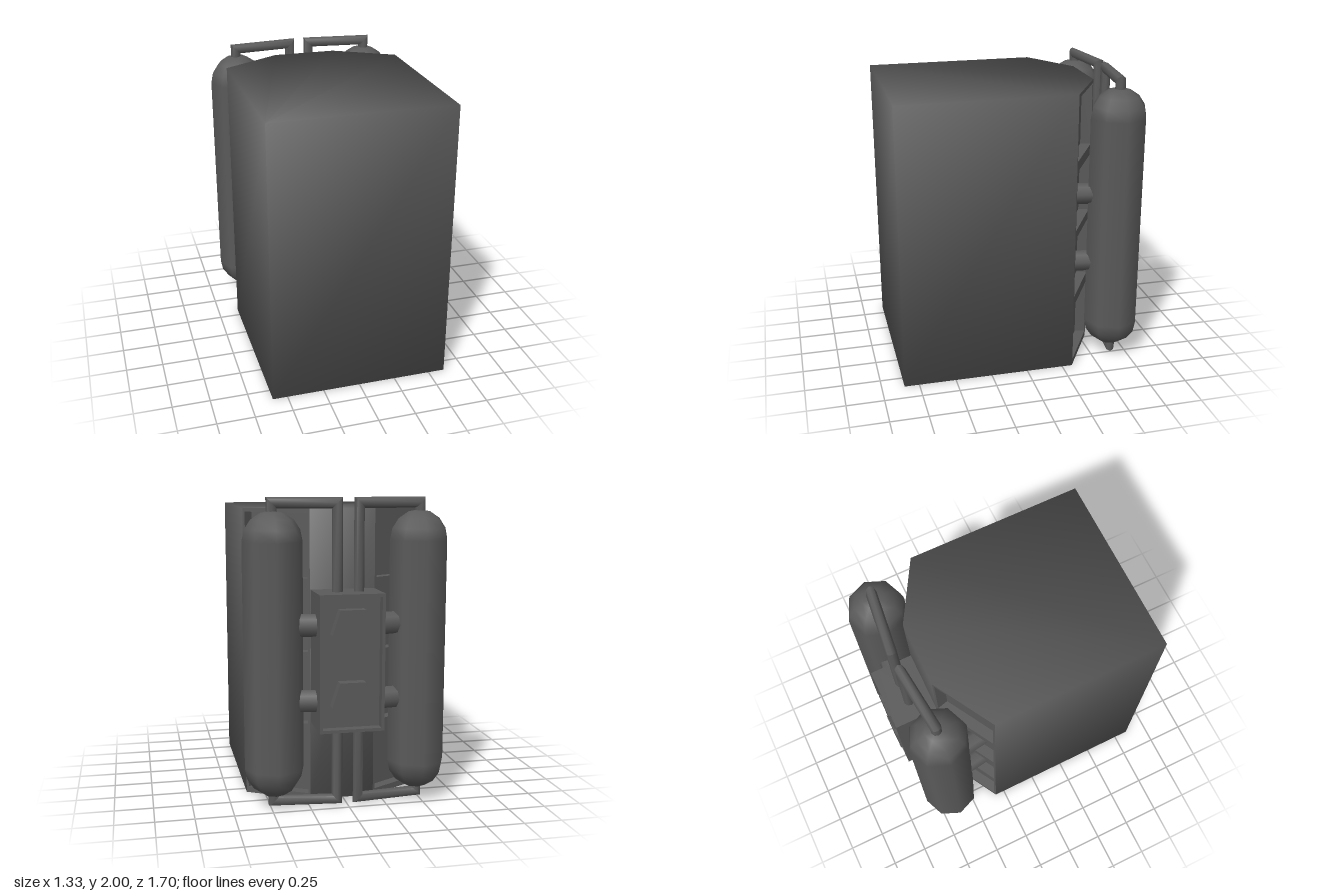
import * as THREE from 'three';
import { toCreasedNormals } from 'three/addons/utils/BufferGeometryUtils.js';

const H = 1.925; // body height
const color = 0x5a5a5a;
const material = new THREE.MeshStandardMaterial({ color });
const flat = new THREE.MeshStandardMaterial({ color, flatShading: true });

function add(parent, name, geometry, mat = material) {
  const mesh = new THREE.Mesh(geometry, mat);
  mesh.name = name;
  parent.add(mesh);
  return mesh;
}

function indexed(positions, index) {
  const g = new THREE.BufferGeometry();
  g.setAttribute('position', new THREE.Float32BufferAttribute(positions, 3));
  g.setIndex(index);
  return g;
}

// Cylinder running between two points
function rod(parent, name, a, b, radius, sides = 8) {
  const from = new THREE.Vector3(...a), to = new THREE.Vector3(...b);
  const dir = to.clone().sub(from);
  const mesh = add(parent, name, new THREE.CylinderGeometry(radius, radius, dir.length(), sides));
  mesh.position.copy(from).add(to).multiplyScalar(0.5);
  mesh.quaternion.setFromUnitVectors(new THREE.Vector3(0, 1, 0), dir.normalize());
}

function rectPath(path, x0, y0, x1, y1) {
  path.moveTo(x0, y0);
  path.lineTo(x1, y0);
  path.lineTo(x1, y1);
  path.lineTo(x0, y1);
  path.closePath();
  return path;
}

// Six-sided prism with evenly blended corner normals; the chamfers are left open for the panels
function bodyGeometry(outline) {
  const n = outline.length, positions = [], normals = [], index = [];
  const sideNormal = i => {
    const [x0, z0] = outline[i % n], [x1, z1] = outline[(i + 1) % n];
    return new THREE.Vector3(z0 - z1, 0, x1 - x0).normalize();
  };
  for (const y of [0, H]) {
    outline.forEach(([x, z], i) => {
      const normal = sideNormal(i).add(sideNormal(i + n - 1));
      normal.y = y > 0 ? 1 : -1;
      positions.push(x, y, z);
      normals.push(...normal.normalize().toArray());
    });
  }
  for (const i of [0, 1, 3, 5]) {
    const j = (i + 1) % n;
    index.push(i, j, n + j, i, n + j, n + i);
  }
  for (let i = 1; i < n - 1; i++) index.push(n, n + i, n + i + 1, 0, i + 1, i);
  const g = indexed(positions, index);
  g.setAttribute('normal', new THREE.Float32BufferAttribute(normals, 3));
  return g;
}

// Open recess facing +z, its sides tapering slightly inwards
function pocketGeometry(x0, y0, x1, y1, inset, depth) {
  const rect = (d, z) => [x0 + d, y0, z, x1 - d, y0, z, x1 - d, y1, z, x0 + d, y1, z];
  const index = [4, 5, 6, 4, 6, 7];
  for (let i = 0; i < 4; i++) {
    const j = (i + 1) % 4;
    index.push(i, j, 4 + j, i, 4 + j, 4 + i);
  }
  return toCreasedNormals(indexed([...rect(0, 0), ...rect(inset, -depth)], index), 0.5);
}

// U-shaped pipe with mitred corners, in the local xy plane
function pipeGeometry(length, startY, topY, endY, radius, sides = 8) {
  const positions = [], index = [];
  for (let row = 0; row < 4; row++) {
    for (let k = 0; k < sides; k++) {
      const angle = k / sides * Math.PI * 2, out = radius * Math.cos(angle);
      positions.push(
        row < 2 ? -out : length + out,
        [startY, topY + out, topY + out, endY][row],
        radius * Math.sin(angle));
      if (row === 3) continue;
      const a = row * sides + k, b = row * sides + (k + 1) % sides;
      index.push(a, b, b + sides, a, b + sides, a + sides);
    }
  }
  return toCreasedNormals(indexed(positions, index), 1);
}

// Slanted back panel with four stacked recesses
function chamferPanel(parent, from, to) {
  const panel = new THREE.Group();
  panel.name = 'recessedPanel';
  const dx = to[0] - from[0], dz = to[1] - from[1], width = Math.hypot(dx, dz);
  panel.position.set(from[0], 0, from[1]);
  panel.rotation.y = Math.atan2(-dz, dx);
  const shape = rectPath(new THREE.Shape(), 0, 0, width, H);
  for (const [y0, y1] of [[0.04, 0.45], [0.52, 0.94], [1.0, 1.41], [1.48, 1.9]]) {
    shape.holes.push(rectPath(new THREE.Path(), 0.015, y0, width - 0.015, y1));
    add(panel, 'recess', pocketGeometry(0.015, y0, width - 0.015, y1, 0.02, 0.07));
  }
  add(panel, 'panelFrame', new THREE.ShapeGeometry(shape));
  parent.add(panel);
}

export function createModel() {
  const model = new THREE.Group();
  model.name = 'tankPack';

  // Main body
  const outline = [[-0.6, 0.85], [0.612, 0.85], [0.618, -0.32], [0.22, -0.55], [-0.21, -0.55], [-0.606, -0.32]];
  add(model, 'body', bodyGeometry(outline));
  chamferPanel(model, outline[2], outline[3]);
  chamferPanel(model, outline[4], outline[5]);

  // Valve block with a raised rim around its back face
  const block = add(model, 'valveBlock', new THREE.BoxGeometry(0.42, 0.88, 0.24));
  block.position.set(0.005, 0.97, -0.66);
  const rim = rectPath(new THREE.Shape(), -0.21, -0.44, 0.21, 0.44);
  rim.holes.push(rectPath(new THREE.Path(), -0.19, -0.42, 0.19, 0.42));
  const frame = add(model, 'valveBlockRim',
    new THREE.ExtrudeGeometry(rim, { depth: 0.06, bevelEnabled: false }));
  frame.position.set(0.005, 0.97, -0.84);

  // Five-sided valves
  for (const y of [0.74, 1.2]) {
    const valve = add(model, 'valve', new THREE.CylinderGeometry(0.14, 0.14, 0.08, 5), flat);
    valve.rotation.set(-Math.PI / 2, Math.PI, 0);
    valve.position.set(0.003, y, -0.81);
  }

  for (const s of [1, -1]) {
    const side = new THREE.Group();
    side.name = s > 0 ? 'leftTank' : 'rightTank';
    model.add(side);

    // Eight-sided tank with domed ends
    const tank = add(side, 'tank', new THREE.CapsuleGeometry(0.192, 1.456, 4, 8));
    tank.position.set(s * 0.475, 1, -0.642);

    // Mounts to the body and to the valve block
    for (const y of [0.71, 1.2]) {
      rod(side, 'bodyMount', [s * 0.47, y, -0.62], [s * 0.43, y, -0.34], 0.072);
      rod(side, 'blockMount', [s * 0.45, y, -0.66], [s * 0.15, y, -0.7], 0.075);
    }

    // Mitred pipes from the tank ends to the valve block, above and below
    for (const flip of [0, Math.PI]) {
      const pipe = add(side, 'pipe', pipeGeometry(0.412, 0.85, 0.96, 0.38, 0.035));
      pipe.position.set(s * 0.48, 1.005, -0.644);
      pipe.rotation.set(flip, Math.atan2(0.045, -s * 0.41), 0, 'YXZ');
    }
  }
  return model;
}
